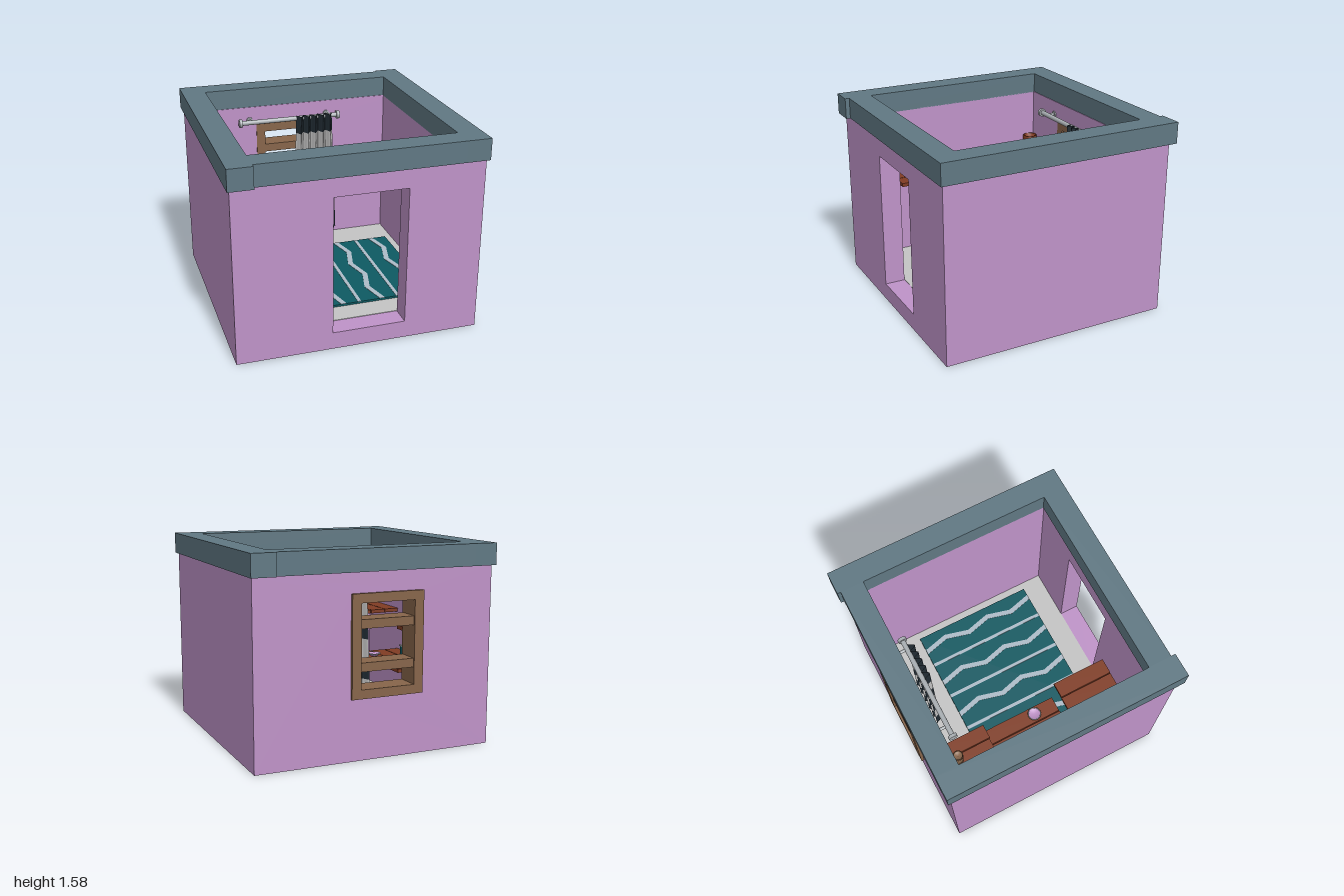
import * as THREE from 'three';

const mat = (name, color, side = THREE.FrontSide) => {
  const m = new THREE.MeshStandardMaterial({ color, side });
  m.name = name;
  return m;
};

export function createModel() {
  const M = {
    wall: mat('lilac', 0xbf93c8),
    trim: mat('slate', 0x607883),
    wood: mat('redBrown', 0x803c23),
    frame: mat('oak', 0x87654a),
    teal: mat('teal', 0x0e5a62),
    pale: mat('paleBlueGrey', 0xaebcc8),
    floor: mat('lightGrey', 0xc4c4c4, THREE.DoubleSide),
    dark: mat('darkNavy', 0x222d35, THREE.DoubleSide),
    metal: mat('metalGrey', 0xaab0b4),
  };
  const model = new THREE.Group();
  model.name = 'room';

  const add = (name, geo, m, x = 0, y = 0, z = 0, parent = model) => {
    const mesh = new THREE.Mesh(geo, m);
    mesh.name = name;
    mesh.position.set(x, y, z);
    parent.add(mesh);
    return mesh;
  };
  // Box given by its limits
  const box = (name, m, x0, x1, y0, y1, z0, z1, parent) =>
    add(name, new THREE.BoxGeometry(x1 - x0, y1 - y0, z1 - z0), m,
      (x0 + x1) / 2, (y0 + y1) / 2, (z0 + z1) / 2, parent);
  const group = (name) => {
    const g = new THREE.Group();
    g.name = name;
    model.add(g);
    return g;
  };
  const rect = (C, x0, x1, y0, y1) => new C([
    new THREE.Vector2(x0, y0), new THREE.Vector2(x1, y0),
    new THREE.Vector2(x1, y1), new THREE.Vector2(x0, y1)]);
  // Upright panel with one rectangular hole
  const panel = (name, m, outer, hole, z0, z1) => {
    const s = rect(THREE.Shape, ...outer);
    s.holes.push(rect(THREE.Path, ...hole));
    return add(name, new THREE.ExtrudeGeometry(s, { depth: z1 - z0, bevelEnabled: false }), m, 0, 0, z0);
  };

  // Walls
  panel('frontWall', M.wall, [-0.967, 0.967, 0.005, 1.42], [-0.215, 0.365, 0.145, 1.26], 0.78, 0.945);
  panel('backWall', M.wall, [-0.967, 0.967, 0.005, 1.42], [-0.365, 0.21, 0.485, 1.255], -0.945, -0.78);
  box('rightWall', M.wall, -0.967, -0.8, 0.005, 1.42, -0.78, 0.78);
  box('leftWall', M.wall, 0.8, 0.967, 0.005, 1.42, -0.78, 0.78);

  // Overlapping beams on top of the walls
  const beams = group('roofBeams');
  box('backBeam', M.trim, -0.8, 0.8, 1.415, 1.585, -0.973, -0.785, beams);
  box('frontBeam', M.trim, -0.8, 0.8, 1.415, 1.585, 0.775, 0.965, beams);
  box('rightBeam', M.trim, -0.99, -0.8, 1.415, 1.585, -0.973, 1, beams);
  box('leftBeam', M.trim, 0.8, 0.99, 1.415, 1.585, -1, 0.965, beams);

  // Floor
  box('floorSlab', M.pale, -0.8, 0.8, 0.012, 0.14, -0.78, 0.78);
  box('floorTop', M.floor, -0.8, 0.8, 0.14, 0.149, -0.78, 0.78);

  // Rug with straight and zigzag stripes
  const rug = group('rug');
  const zA = -0.475, zB = 0.59;
  box('rugBase', M.teal, -0.47, 0.735, 0.149, 0.166, zA, zB, rug);
  for (const x of [-0.21, 0.12, 0.447])
    box('straightStripe', M.pale, x - 0.014, x + 0.014, 0.165, 0.169, zA, zB, rug);
  for (const x of [-0.37, -0.04, 0.287, 0.617]) {
    const right = [], left = [];
    for (let i = 0; i <= 5; i++) {
      const z = zA + (zB - zA) * i / 5;
      const cx = x + (i % 2 ? 0.028 : -0.028);
      right.push(new THREE.Vector2(cx + 0.022, -z));
      left.unshift(new THREE.Vector2(cx - 0.022, -z));
    }
    const geo = new THREE.ExtrudeGeometry(new THREE.Shape([...right, ...left]), { depth: 0.004, bevelEnabled: false });
    geo.rotateX(-Math.PI / 2);
    add('zigzagStripe', geo, M.pale, 0, 0.165, 0, rug);
  }

  // Window frame through the back wall, with two shelves
  panel('windowFrame', M.frame, [-0.37, 0.215, 0.48, 1.26], [-0.295, 0.14, 0.55, 1.19], -0.968, -0.775);
  for (const y of [0.68, 1.0])
    box('windowShelf', M.frame, -0.3, 0.145, y, y + 0.068, -0.955, -0.785);

  // Plank shelves on the right wall
  const planks = (name, x1, y, z0, z1, offsets) => {
    const g = group(name), w = (x1 + 0.8) / 3;
    offsets.forEach((o, i) => box('plank', M.wood, -0.8 + i * w, -0.8 + (i + 1) * w - 0.007,
      y - 0.03, y, z0 + o, z1 + o, g));
  };
  planks('backShelf', -0.435, 0.9, -0.775, -0.425, [0, -0.004, 0.003]);
  planks('middleShelf', -0.4, 0.56, -0.51, 0.235, [0, 0.003, 0]);
  planks('frontShelf', -0.4, 0.92, 0.235, 0.685, [0, -0.003, 0]);

  // Pots on the back shelf
  const lathe = (pts, n = 24) => new THREE.LatheGeometry(pts.map(p => new THREE.Vector2(...p)), n);
  add('flowerPot', lathe([[0, 0], [0.04, 0], [0.05, 0.09], [0.062, 0.09], [0.062, 0.135],
    [0.05, 0.135], [0.045, 0.1], [0, 0.1]]), M.wood, -0.745, 0.9, -0.715);
  add('jar', lathe([[0, 0], [0.04, 0], [0.042, 0.08], [0.034, 0.095], [0.041, 0.1], [0.041, 0.12],
    [0.032, 0.12], [0.03, 0.1], [0, 0.1]]), M.frame, -0.6, 0.9, -0.72);

  // Plates and square cups on the middle shelf
  for (const [x, z] of [[-0.735, -0.365], [-0.47, 0.035]]) {
    add('plate', lathe([[0, 0], [0.03, 0], [0.052, 0.02], [0.046, 0.023], [0.03, 0.01], [0, 0.01]]),
      M.wall, x, 0.56, z);
    const rim = new THREE.TorusGeometry(0.051, 0.005, 6, 24);
    rim.rotateX(Math.PI / 2);
    add('plateRim', rim, M.metal, x, 0.581, z);
  }
  const cup = (name, m, y0, y1, r, x, z) => {
    const s = rect(THREE.Shape, -r, r, -r, r);
    s.holes.push(rect(THREE.Path, -0.027, 0.027, -0.027, 0.027));
    const geo = new THREE.ExtrudeGeometry(s, { depth: y1 - y0, bevelEnabled: false });
    geo.rotateX(-Math.PI / 2);
    add(name, geo, m, x, y0, z);
  };
  for (const z of [-0.155, -0.03]) {
    cup('cupBody', M.teal, 0.56, 0.63, 0.037, -0.74, z);
    cup('cupRim', M.metal, 0.63, 0.642, 0.042, -0.74, z);
  }

  // Curtain rod with end caps and wall brackets
  const rod = group('curtainRod');
  const cyl = (name, r, len, axis, x, z) => {
    const geo = new THREE.CylinderGeometry(r, r, len, 20);
    if (axis === 'x') geo.rotateZ(Math.PI / 2); else geo.rotateX(Math.PI / 2);
    add(name, geo, M.metal, x, 1.305, z, rod);
  };
  cyl('rod', 0.02, 0.88, 'x', -0.09, -0.708);
  for (const x of [-0.523, 0.345]) cyl('rodCap', 0.035, 0.026, 'x', x, -0.708);
  for (const x of [-0.43, 0.26]) {
    cyl('bracket', 0.012, 0.075, 'z', x, -0.743);
    cyl('bracketPlate', 0.026, 0.012, 'z', x, -0.774);
  }

  // Pleated curtain, seven bands that flare towards the hem
  const curtain = group('curtain');
  const hem = 0.235, band = 0.157;
  for (let b = 0; b < 7; b++) {
    const geo = new THREE.PlaneGeometry(2, 1, 80, 1);
    const p = geo.attributes.position;
    for (let i = 0; i < p.count; i++) {
      const u = p.getX(i), t = (b + p.getY(i) + 0.5) / 7;
      p.setXYZ(i, 0.127 + u * (0.2 - 0.04 * t), hem + t * 7 * band,
        -0.668 + 0.026 * Math.cos(u * Math.PI * 5));
    }
    geo.computeVertexNormals();
    add(b % 2 ? 'lightBand' : 'darkBand', geo, b % 2 ? M.floor : M.dark, 0, 0, 0, curtain);
  }

  return model;
}
